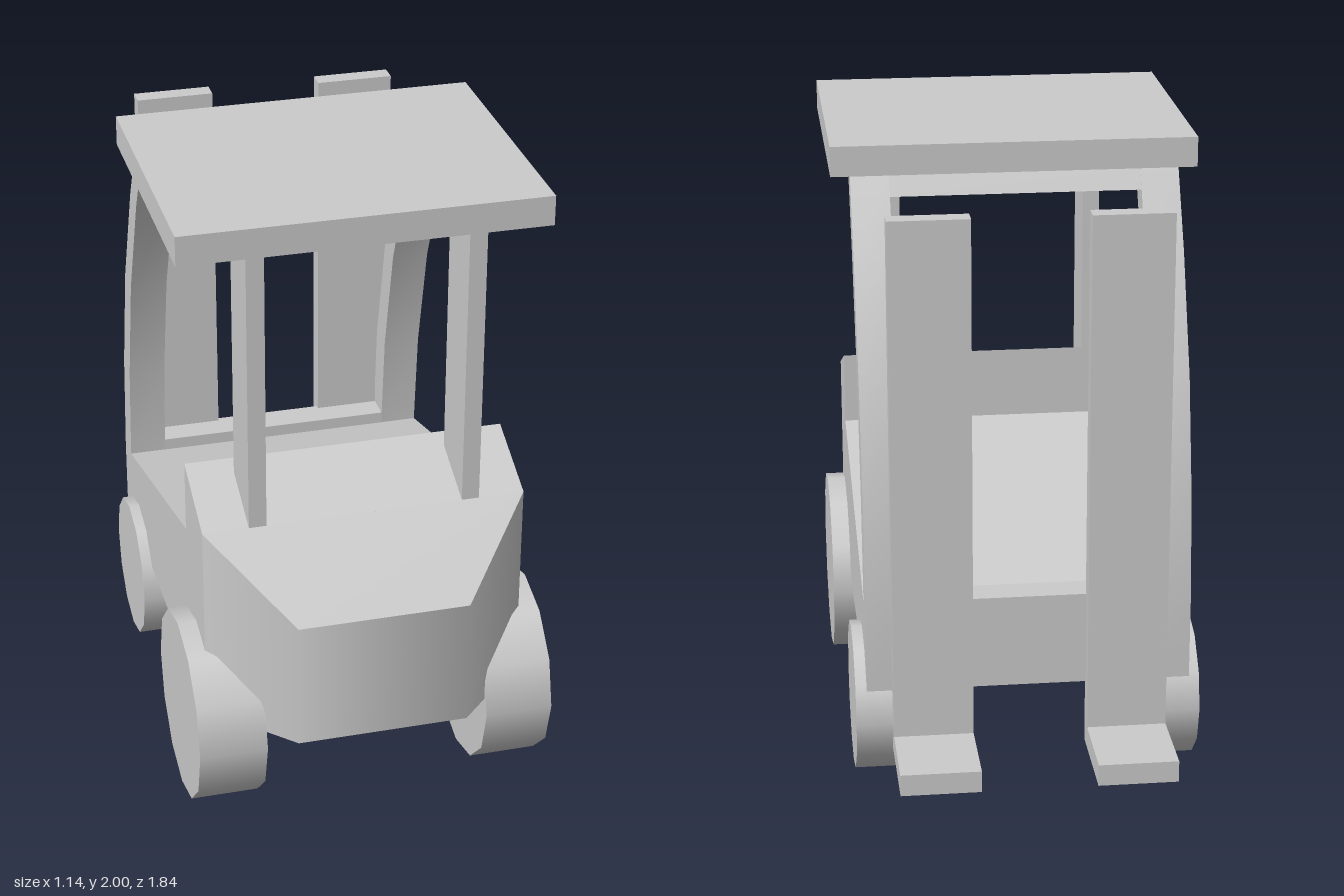
import * as THREE from 'three';
import { toCreasedNormals } from 'three/addons/utils/BufferGeometryUtils.js';

const material = new THREE.MeshStandardMaterial({ color: 0xcccccc });

// Extrude a [z, y] side profile across x0..x1
function sideProfile(points, x0, x1) {
  const shape = new THREE.Shape(points.map(([z, y]) => new THREE.Vector2(z, y)));
  const geo = new THREE.ExtrudeGeometry(shape, { depth: x1 - x0, bevelEnabled: false });
  geo.rotateY(-Math.PI / 2).translate(x1, 0, 0);
  return toCreasedNormals(geo, 0.5);
}

function box(x0, x1, y0, y1, z0, z1) {
  return new THREE.BoxGeometry(x1 - x0, y1 - y0, z1 - z0)
    .translate((x0 + x1) / 2, (y0 + y1) / 2, (z0 + z1) / 2);
}

function wheel(radius, x0, x1, z) {
  return new THREE.CylinderGeometry(radius, radius, x1 - x0, 12)
    .rotateZ(Math.PI / 2).translate((x0 + x1) / 2, radius, z);
}

// Tapered counterweight: a box narrowed and lowered at its +z end
function counterweightGeometry() {
  const geo = box(-0.51, 0.51, 0.35, 1, 0.68, 0.92);
  const pos = geo.attributes.position;
  for (let i = 0; i < pos.count; i++) {
    if (pos.getZ(i) < 0.8) continue;
    pos.setX(i, Math.sign(pos.getX(i)) * 0.27);
    if (pos.getY(i) > 0.5) pos.setY(i, 0.77);
  }
  geo.computeVertexNormals();
  // Soft shading around the vertical walls (+x, -x and +z faces)
  const normal = geo.attributes.normal;
  for (const face of [0, 1, 4]) {
    for (let i = face * 4; i < face * 4 + 4; i++) {
      const side = Math.sign(pos.getX(i));
      if (pos.getZ(i) > 0.8) normal.setXYZ(i, side * 0.383, 0, 0.924);
      else normal.setXYZ(i, side * 0.924, 0, 0.383);
    }
  }
  return geo;
}

export function createModel() {
  const model = new THREE.Group();
  model.name = 'forklift';
  const add = (name, geo) => {
    const mesh = new THREE.Mesh(geo, material);
    mesh.name = name;
    model.add(mesh);
  };

  // Chassis
  add('body', sideProfile([
    [0.68, 0.35], [0.68, 1], [0.43, 1.105], [0.43, 0.87], [-0.515, 0.61], [-0.515, 0.35],
  ], -0.51, 0.51));
  add('counterweight', counterweightGeometry());

  // Cab roof and curved frame
  add('roof', box(-0.57, 0.57, 1.905, 2, -0.22, 0.68));
  const curve = [[-0.12, 1.905], [-0.25, 1.67], [-0.4, 1.31], [-0.485, 0.94], [-0.515, 0.6], [-0.515, 0.35]];
  const outer = curve.map(([z, y]) => [z - 0.1, y]).reverse();
  add('frameTopBar', sideProfile(
    [[-0.12, 1.905], [-0.15, 1.845], [-0.25, 1.845], [-0.22, 1.905]], -0.39, 0.39));
  add('frameBottomBar', box(-0.39, 0.39, 0.35, 0.65, -0.615, -0.513));

  // Mirrored parts
  for (const [label, s] of [['left', 1], ['right', -1]]) {
    const span = (a, b) => (s > 0 ? [a, b] : [-b, -a]);
    add(label + 'FramePost', sideProfile([...curve, ...outer], ...span(0.39, 0.51)));
    add(label + 'RoofPost', box(...span(0.31, 0.365), 0.98, 1.905, 0.48, 0.68));
    add(label + 'Mast', box(...span(0.18, 0.43), 0.14, 1.885, -0.66, -0.6));
    add(label + 'Fork', box(...span(0.18, 0.43), 0.14, 0.21, -0.92, -0.66));
    add(label + 'RearWheel', wheel(0.305, ...span(0.355, 0.57), 0.56));
    add(label + 'FrontWheel', wheel(0.237, ...span(0.33, 0.545), -0.39));
  }
  return model;
}
